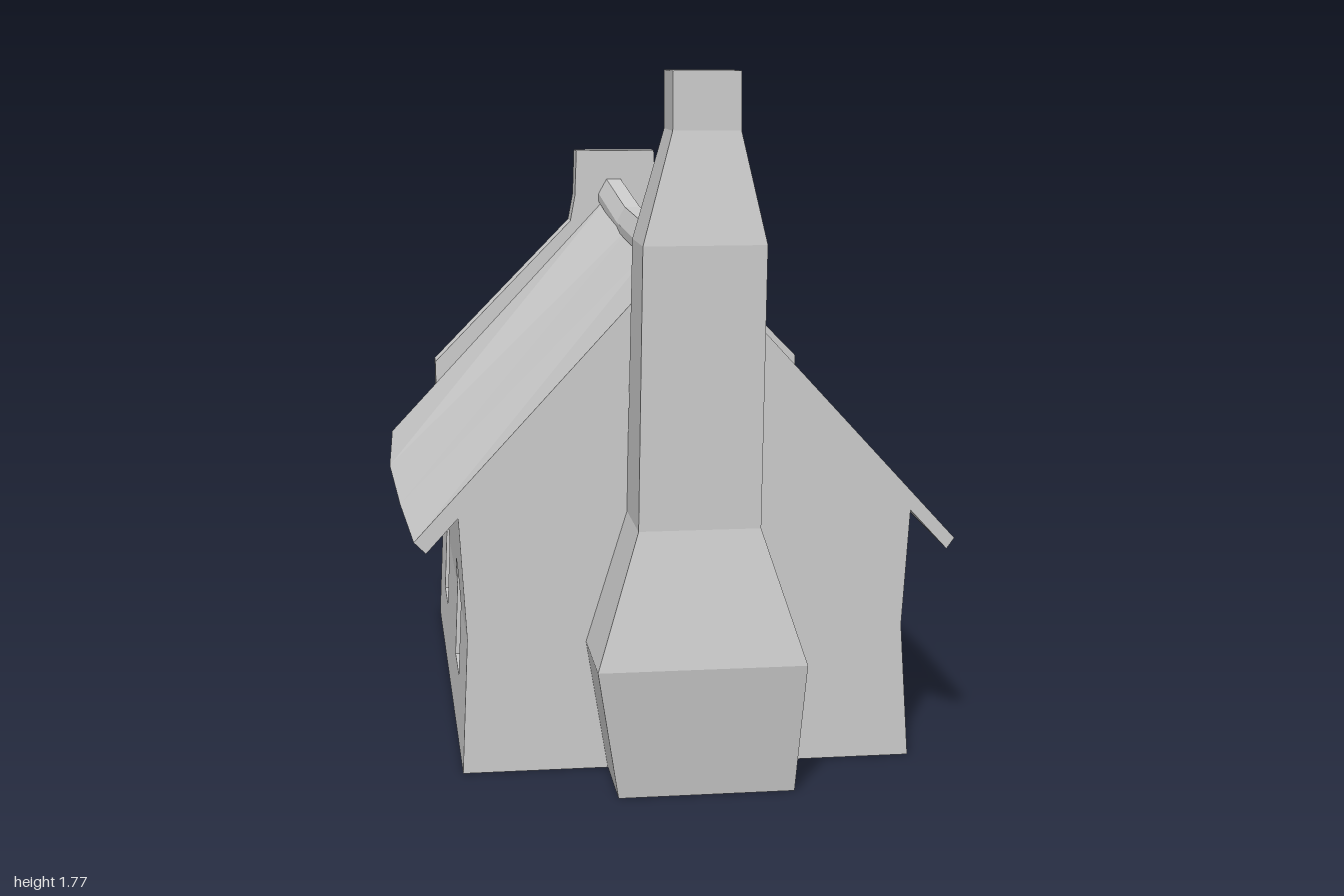
import * as THREE from 'three';

const mat = new THREE.MeshStandardMaterial({ color: 0xcccccc, flatShading: true, side: THREE.DoubleSide });
const KINK = 0.35, TOP = 0.68; // heights where the walls change lean

function add(parent, name, geometry) {
  const mesh = new THREE.Mesh(geometry, mat);
  mesh.name = name;
  parent.add(mesh);
  return mesh;
}

// Skin a list of equal-length rings of [x, y, z] points, with optional fan caps
function loft(rings, capStart = true, capEnd = true) {
  const n = rings[0].length, idx = [];
  for (let r = 0; r < rings.length - 1; r++) {
    for (let i = 0; i < n; i++) {
      const a = r * n + i, b = r * n + (i + 1) % n;
      idx.push(a, b, b + n, a, b + n, a + n);
    }
  }
  const last = (rings.length - 1) * n;
  for (let i = 1; i < n - 1; i++) {
    if (capStart) idx.push(0, i + 1, i);
    if (capEnd) idx.push(last, last + i, last + i + 1);
  }
  const g = new THREE.BufferGeometry();
  g.setAttribute('position', new THREE.Float32BufferAttribute(rings.flat(2), 3));
  g.setIndex(idx);
  const flat = g.toNonIndexed();
  flat.computeVertexNormals();
  return flat;
}

const toShape = pts => new THREE.Shape(pts.map(p => new THREE.Vector2(p[0], p[1])));

// Piecewise linear lean of a wall: values at ground, kink and top
const lean = (a, b, c) => y => y < KINK
  ? a + (b - a) * y / KINK
  : b + (c - b) * Math.min(1, (y - KINK) / (TOP - KINK));
const rightX = lean(0.595, 0.572, 0.593);
const leftX = lean(-0.56, -0.545, -0.565);
const backZ = lean(-0.85, -0.83, -0.86);

// Arch from right to left, starting and ending at the kink height
function arch(o) {
  const half = [[1, 0], [0.98, 0.25], [0.75, 0.74], [0.35, 1]];
  const full = [...half, ...half.slice().reverse().map(p => [-p[0], p[1]])];
  return full.map(p => [o.u + p[0] * o.w / 2, KINK + p[1] * (o.top - KINK)]);
}

// Wall in two bands with arched niches; place(u, y, depth) gives the 3D point
function buildWall(group, name, u0, u1, openings, place) {
  const lower = [[u0, 0], [u1, 0], [u1, KINK]];
  const upper = [[u1, TOP], [u0, TOP], [u0, KINK]];
  for (const o of [...openings].sort((a, b) => b.u - a.u)) {
    const l = o.u - o.w / 2, r = o.u + o.w / 2;
    lower.push([r, KINK], [r, o.sill], [l, o.sill], [l, KINK]);
  }
  lower.push([u0, KINK]);
  for (const o of [...openings].sort((a, b) => a.u - b.u)) upper.push(...arch(o).reverse());
  upper.push([u1, KINK]);

  for (const [band, pts] of [['Lower', lower], ['Upper', upper]]) {
    const g = new THREE.ShapeGeometry(toShape(pts));
    const p = g.attributes.position;
    for (let i = 0; i < p.count; i++) p.setXYZ(i, ...place(p.getX(i), p.getY(i), 0));
    g.computeVertexNormals();
    add(group, name + band, g);
  }
  // Niche reveals and their back panels
  for (const o of openings) {
    const ring = [[o.u - o.w / 2, o.sill], [o.u + o.w / 2, o.sill], ...arch(o)];
    add(group, o.name, loft([0, o.depth].map(d => ring.map(q => place(q[0], q[1], d))), false, true));
  }
}

export function createModel() {
  const house = new THREE.Group();
  house.name = 'cottage';

  // Side and back walls
  const windows = sign => [0.275, -0.45].map(z =>
    ({ name: 'windowNiche', u: sign * z, w: 0.2, sill: 0.155, top: 0.445, depth: 0.04 }));
  const endZ = (z, y) => (z < -0.8 ? backZ(y) : z);
  const walls = new THREE.Group();
  walls.name = 'walls';
  house.add(walls);
  buildWall(walls, 'rightSideWall', -0.72, 0.85, windows(-1), (u, y, d) => [rightX(y) - d, y, endZ(-u, y)]);
  buildWall(walls, 'leftSideWall', -0.85, 0.72, windows(1), (u, y, d) => [leftX(y) + d, y, endZ(u, y)]);
  const door = { name: 'doorNiche', u: -0.01, w: 0.25, sill: 0.03, top: 0.45, depth: 0.05 };
  buildWall(walls, 'backWall', -0.59, 0.56, [door], (u, y, d) =>
    [u < -0.5 ? rightX(y) : u > 0.5 ? leftX(y) : -u, y, backZ(y) + d]);

  // Front gable wall
  const ys = [0, KINK, TOP];
  const front = new THREE.ShapeGeometry(toShape([
    ...ys.map(y => [rightX(y), y]), [0.01, 1.31], ...ys.slice().reverse().map(y => [leftX(y), y])]));
  add(walls, 'frontGable', front).position.z = 0.72;

  // Back gable parapet rising to a stub stack
  const parapet = new THREE.ExtrudeGeometry(toShape([
    [-0.565, TOP], [0.593, TOP], [0.59, 0.83], [0.155, 1.27], [0.135, 1.35], [0.13, 1.49],
    [-0.115, 1.49], [-0.12, 1.35], [-0.135, 1.27], [-0.565, 0.83]]), { depth: 0.08, bevelEnabled: false });
  add(house, 'backParapet', parapet).position.z = -0.86;

  // Sagging roof slab: z, left eave x y, ridge x y, right eave x y
  const roofRows = [
    [0.72, -0.675, 0.605, 0.005, 1.34, 0.708, 0.575],
    [0.25, -0.7, 0.6, 0.008, 1.31, 0.712, 0.585],
    [-0.28, -0.72, 0.6, 0.012, 1.315, 0.708, 0.567],
    [-0.78, -0.705, 0.61, 0.005, 1.37, 0.71, 0.592]];
  add(house, 'roof', loft(roofRows.map(([z, lx, ly, cx, cy, rx, ry]) => [
    [cx, cy, z], [rx, ry, z], [rx - 0.02, ry - 0.028, z],
    [cx, cy - 0.055, z], [lx + 0.03, ly - 0.03, z], [lx, ly, z]])));

  // Ridge cap following the sag
  const capProfile = [[-0.02, 0], [0.025, 0], [0.048, -0.045], [0.048, -0.07], [-0.045, -0.07], [-0.045, -0.045]];
  const capRows = [[0.75, 0, 1.37], [0.28, 0.002, 1.335], [-0.4, 0.012, 1.343], [-0.78, 0, 1.4]];
  add(house, 'ridgeCap', loft(capRows.map(([z, cx, cy]) =>
    capProfile.map(([x, y]) => [cx + x, cy + y, z]))));

  // Front chimney: y, left x, right x, back z, front z
  const chimneyRows = [
    [0, -0.19, 0.25, 0.71, 0.95],
    [0.335, -0.245, 0.27, 0.7, 1],
    [0.67, -0.14, 0.16, 0.712, 0.95],
    [1.36, -0.13, 0.17, 0.752, 0.953],
    [1.63, -0.055, 0.11, 0.775, 0.922],
    [1.77, -0.055, 0.11, 0.775, 0.922]];
  add(house, 'chimney', loft(chimneyRows.map(([y, l, r, b, f]) =>
    [[l, y, f], [r, y, f], [r, y, b], [l, y, b]]), false, true));

  // Door steps
  const upperStep = add(house, 'upperStep', new THREE.BoxGeometry(0.26, 0.03, 0.11));
  upperStep.position.set(0.01, 0.045, -0.875);
  const lowerStep = add(house, 'lowerStep', new THREE.BoxGeometry(0.26, 0.028, 0.17));
  lowerStep.position.set(0.01, 0.016, -0.915);

  return house;
}
